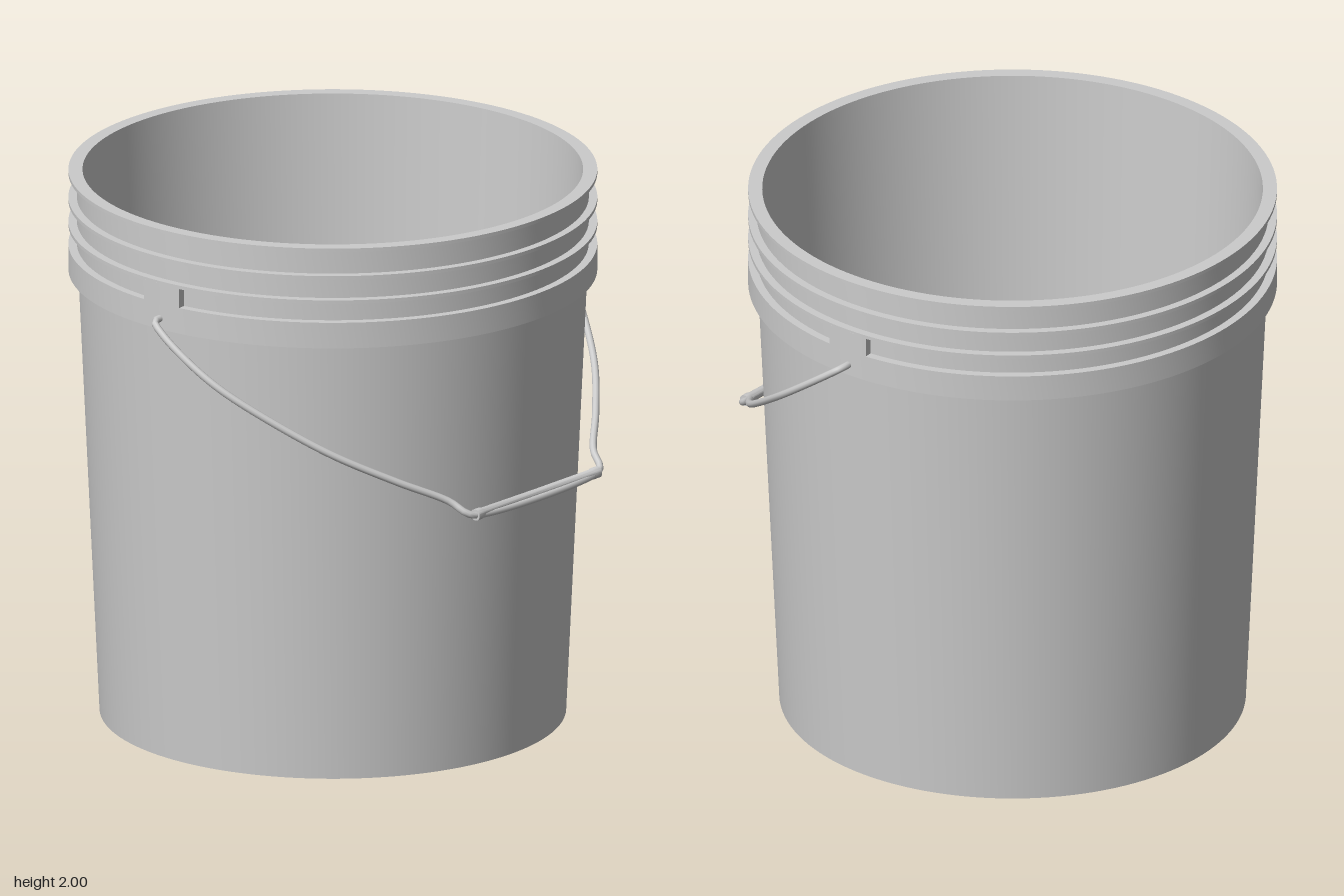
import * as THREE from 'three';
import { toCreasedNormals } from 'three/addons/utils/BufferGeometryUtils.js';

const CENTRE_X = -0.02;
const RIM = 0.935;

export function createModel() {
  const model = new THREE.Group();
  model.name = 'bucket';
  const grey = new THREE.MeshStandardMaterial({ color: 0xcccccc });

  const add = (name, geometry, parent = model) => {
    const mesh = new THREE.Mesh(geometry, grey);
    mesh.name = name;
    parent.add(mesh);
    return mesh;
  };
  const lathe = (points, segments) => toCreasedNormals(
    new THREE.LatheGeometry(points.map(([r, y]) => new THREE.Vector2(r, y)), segments), 0.5);

  // Tapered shell: underside, outer wall with raised rings, lip, inner wall, floor
  const profile = [[0, 0], [0.825, 0]];
  const wallAt = (y) => 0.825 + 0.08 * Math.min(1, y / 1.73);
  const rings = [[1.63, 1.725], [1.795, 1.808], [1.885, 1.898], [1.987, 2]];
  for (const [low, high] of rings) {
    profile.push([wallAt(low), low], [RIM, low], [RIM, high]);
    if (high < 2) profile.push([wallAt(high), high]);
  }
  profile.push([0.885, 2], [0.803, 0.02], [0, 0.02]);
  add('shell', lathe(profile, 128)).position.x = CENTRE_X;

  // Solid blocks behind the handle pivots, joining the band to the ring above
  const half = 0.088;
  for (const side of [1, -1]) {
    const mid = side * Math.PI / 2;
    const sector = new THREE.Shape();
    sector.absarc(0, 0, RIM, mid - half, mid + half, false);
    sector.absarc(0, 0, 0.895, mid + half, mid - half, true);
    const geometry = new THREE.ExtrudeGeometry(sector,
      { depth: 0.08, bevelEnabled: false, curveSegments: 8 });
    geometry.rotateX(-Math.PI / 2);
    const block = add(side > 0 ? 'backPivotBlock' : 'frontPivotBlock', toCreasedNormals(geometry, 0.5));
    block.position.set(CENTRE_X, 1.72, 0);
  }

  // Wire handle lying in a tilted plane: x follows from height
  const handle = new THREE.Group();
  handle.name = 'handle';
  model.add(handle);
  const halfWire = [
    [0.89, 1.665], [0.94, 1.67], [0.97, 1.665], [0.983, 1.63], [0.978, 1.56], [0.95, 1.48],
    [0.89, 1.4], [0.72, 1.24], [0.54, 1.125], [0.39, 1.04], [0.365, 1.005], [0.335, 0.992],
  ];
  const place = (z, y) => new THREE.Vector3(-0.025 + (1.67 - y) * 1.405, y, z);
  const path = [
    ...halfWire.map(([z, y]) => place(z, y)),
    ...halfWire.slice().reverse().map(([z, y]) => place(-z, y)),
  ];
  add('wire', new THREE.TubeGeometry(new THREE.CatmullRomCurve3(path), 160, 0.013, 10), handle);

  // Grip sleeve with a small collar at each end
  const grip = add('grip', lathe([
    [0, -0.333], [0.021, -0.333], [0.021, -0.305], [0.018, -0.295], [0.017, 0],
    [0.018, 0.295], [0.021, 0.305], [0.021, 0.333], [0, 0.333],
  ], 20), handle);
  grip.rotation.x = Math.PI / 2;
  grip.position.copy(place(0, 0.992));

  return model;
}
